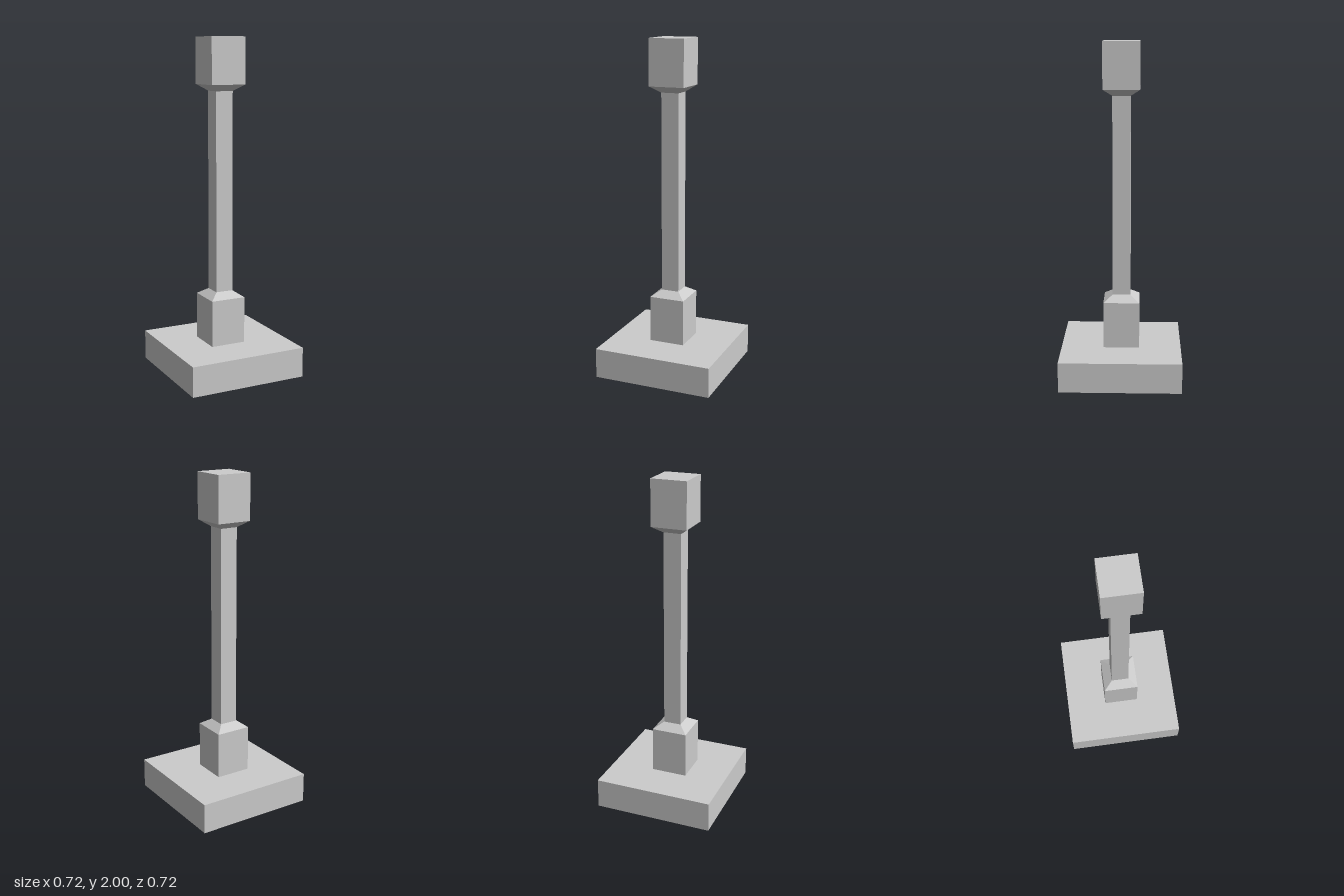
import * as THREE from 'three';

const BASE = 0.72, BLOCK = 0.215, SHAFT = 0.107;

export function createModel() {
  const model = new THREE.Group();
  model.name = 'squarePillar';
  const material = new THREE.MeshStandardMaterial({ color: 0xcccccc, flatShading: true });

  const add = (name, geometry, y0, y1, parent) => {
    const mesh = new THREE.Mesh(geometry, material);
    mesh.name = name;
    mesh.position.y = (y0 + y1) / 2;
    parent.add(mesh);
  };

  // Square block between two heights
  const block = (name, width, y0, y1, parent) =>
    add(name, new THREE.BoxGeometry(width, y1 - y0, width), y0, y1, parent);

  // Open four-sided taper joining two square widths
  const taper = (name, bottom, top, y0, y1, parent) => {
    const geometry = new THREE.CylinderGeometry(
      top * Math.SQRT1_2, bottom * Math.SQRT1_2, y1 - y0, 4, 1, true);
    geometry.rotateY(Math.PI / 4);
    add(name, geometry, y0, y1, parent);
  };

  // Broad plinth
  block('base', BASE, 0, 0.18, model);

  // Post, set slightly off the centre of the plinth
  const post = new THREE.Group();
  post.name = 'post';
  post.position.set(-0.008, 0, -0.001);
  model.add(post);
  block('pedestal', BLOCK, 0.18, 0.46, post);
  taper('pedestalTaper', BLOCK, SHAFT, 0.46, 0.497, post);
  block('shaft', SHAFT, 0.497, 1.69, post);
  taper('capitalTaper', SHAFT, BLOCK, 1.69, 1.728, post);
  block('capital', BLOCK, 1.728, 2, post);

  return model;
}
